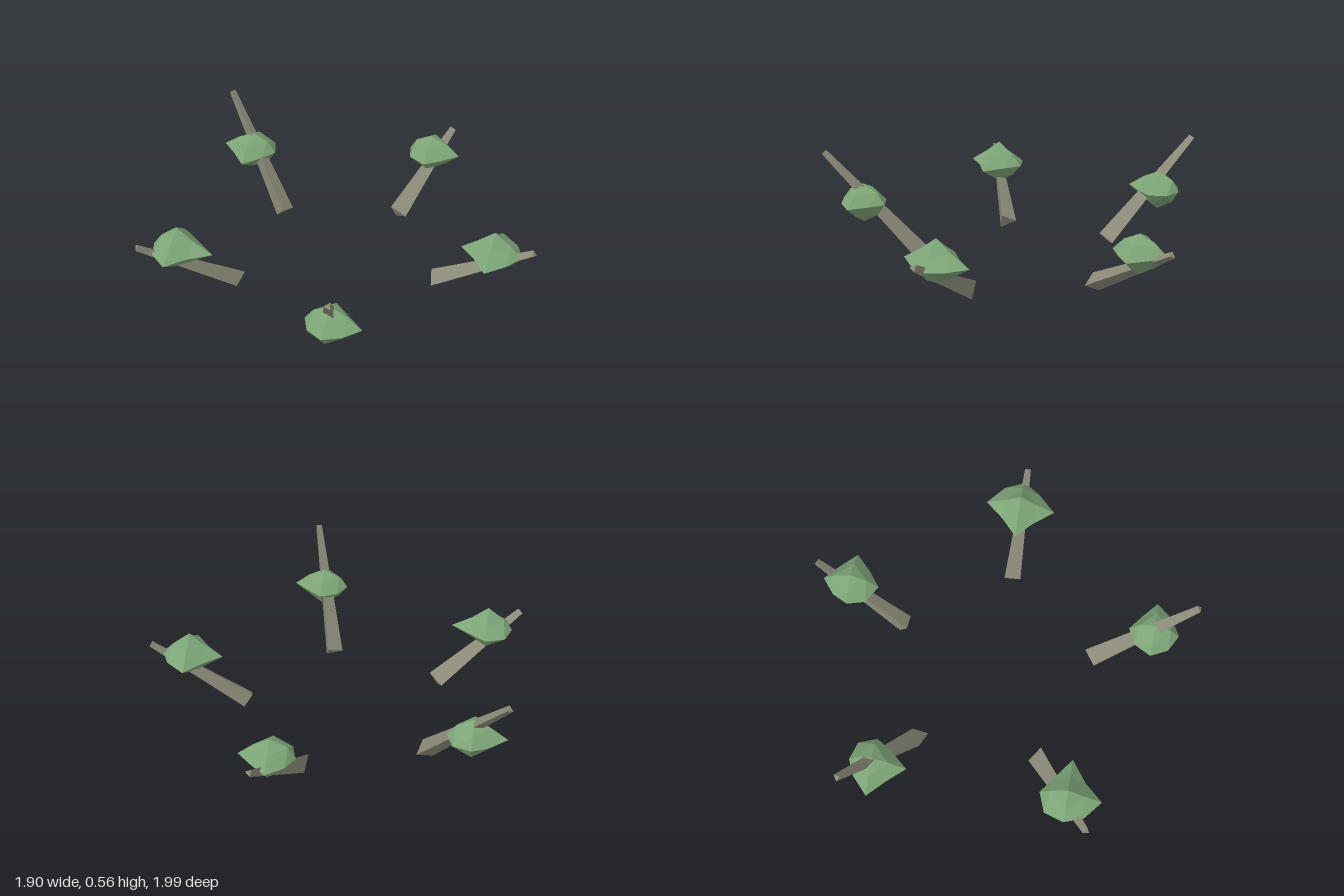
import * as THREE from 'three';

const stoneMat = new THREE.MeshStandardMaterial({ color: 0x8b8a78, flatShading: true });
const leafMat = new THREE.MeshStandardMaterial({ color: 0x7da577, flatShading: true });

const CENTRE_X = -0.1, RING = 0.83;

// axis: reach along +x, -x, +y, -y, +z, -z
// diag: horizontal diagonal reach for (x,z) signs ++, +-, -+, --
const CLUMPS = [
  { axis: [0.145, 0.17, 0.125, 0.1, 0.18, 0.18], diag: [0.124, 0.14, 0.115, 0.115] },
  { axis: [0.158, 0.13, 0.1, 0.11, 0.13, 0.127], diag: [0.12, 0.102, 0.122, 0.12] },
  { axis: [0.19, 0.13, 0.125, 0.11, 0.174, 0.137], diag: [0.115, 0.113, 0.137, 0.14] },
  { axis: [0.127, 0.168, 0.1, 0.11, 0.17, 0.12], diag: [0.11, 0.13, 0.115, 0.115] },
  { axis: [0.158, 0.12, 0.1, 0.11, 0.142, 0.148], diag: [0.112, 0.112, 0.13, 0.115] },
];

// Faceted, uneven clump: a once-divided octahedron with stretched corners
function clumpGeometry({ axis, diag }) {
  const geo = new THREE.OctahedronGeometry(1, 1);
  const pos = geo.attributes.position;
  const v = new THREE.Vector3();
  for (let i = 0; i < pos.count; i++) {
    v.fromBufferAttribute(pos, i);
    const c = v.toArray();
    const k = c.findIndex((n) => Math.abs(n) > 0.9);
    if (k >= 0) {
      v.multiplyScalar(axis[2 * k + (c[k] < 0 ? 1 : 0)]);
    } else if (Math.abs(v.y) < 0.1) {
      v.multiplyScalar(diag[(v.x < 0 ? 2 : 0) + (v.z < 0 ? 1 : 0)]);
    } else {
      v.multiplyScalar(0.118);
      v.y *= 0.72;
    }
    pos.setXYZ(i, v.x, v.y, v.z);
  }
  geo.computeVertexNormals();
  return geo;
}

// Three-sided tapering shaft leaning outward from the ring's centre
function shaft(topY) {
  const from = new THREE.Vector2(0.525, 0.046), to = new THREE.Vector2(1.035, topY);
  const d = to.clone().sub(from);
  const mesh = new THREE.Mesh(
    new THREE.CylinderGeometry(0.02, 0.055, d.length(), 3, 1), stoneMat);
  mesh.rotation.z = -Math.atan2(d.x, d.y);
  mesh.position.set((from.x + to.x) / 2, (from.y + to.y) / 2, 0);
  mesh.name = 'leaningShaft';
  return mesh;
}

export function createModel() {
  const model = new THREE.Group();
  model.name = 'shaftRing';
  CLUMPS.forEach((clump, i) => {
    const a = (i * Math.PI * 2) / 5;

    // Every second shaft stands steeper
    const arm = new THREE.Group();
    arm.name = 'shaftArm';
    arm.position.x = CENTRE_X;
    arm.rotation.y = -a;
    arm.add(shaft(i % 2 ? 0.555 : 0.335));
    model.add(arm);

    // Clump, kept square to the main axes
    const leaf = new THREE.Mesh(clumpGeometry(clump), leafMat);
    leaf.name = 'leafClump';
    leaf.position.set(CENTRE_X + RING * Math.cos(a), 0.29, RING * Math.sin(a));
    model.add(leaf);
  });
  return model;
}
